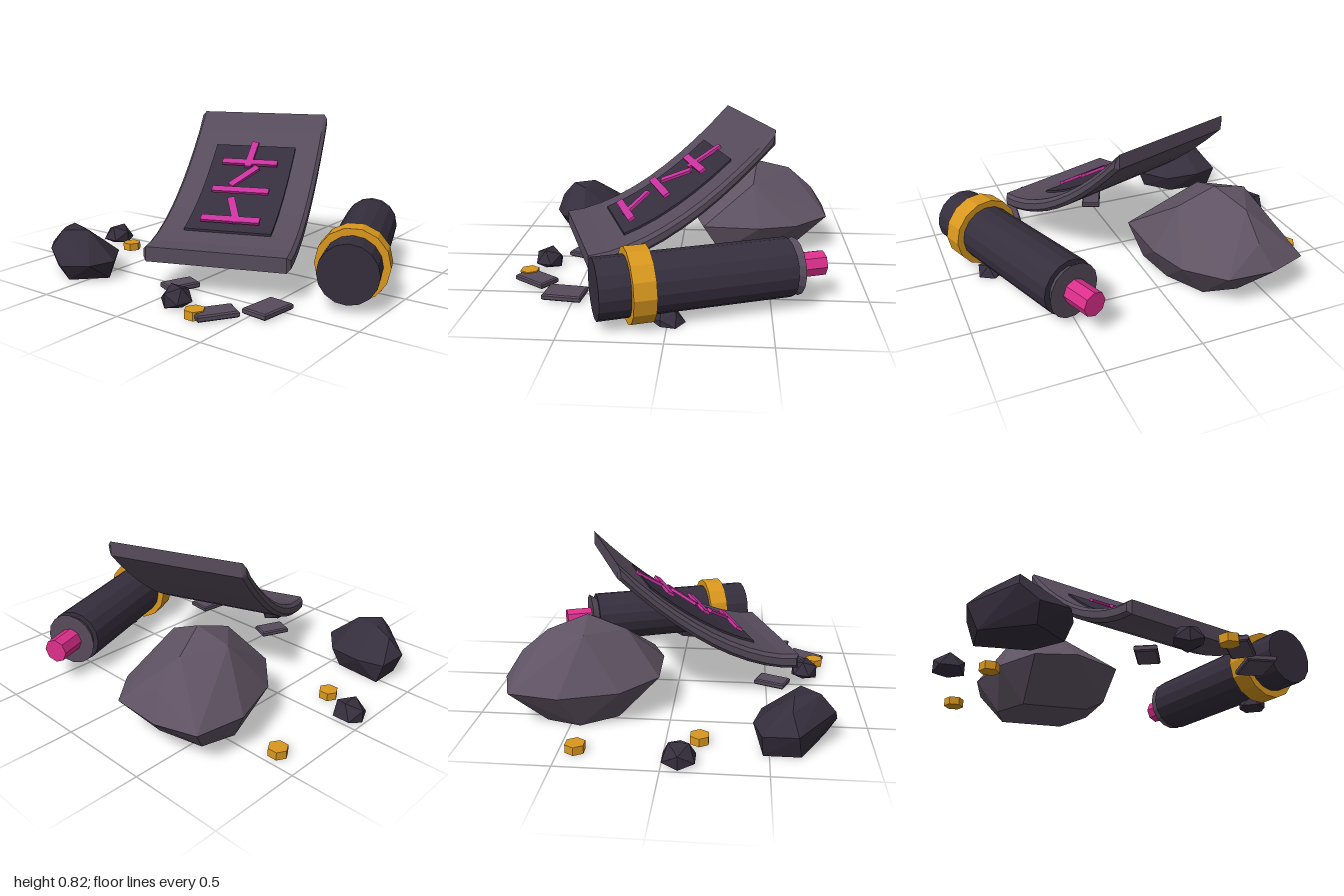
import * as THREE from 'three';
import { ConvexGeometry } from 'three/addons/geometries/ConvexGeometry.js';

const TURN = THREE.MathUtils.degToRad(20);

function mat(name, color) {
  const m = new THREE.MeshStandardMaterial({ color, flatShading: true });
  m.name = name;
  return m;
}

export function createModel() {
  const root = new THREE.Group();
  root.name = 'ruinDebris';
  const slate = mat('slate', 0x564b5b);
  const stone = mat('stone', 0x5f5363);
  const dark = mat('dark stone', 0x352e3d);
  const gold = mat('gold', 0xd9981e);
  const rune = mat('rune pink', 0xc8329e);
  const glow = mat('core pink', 0xdc2f8c);

  const add = (parent, name, geo, material, pos = [0, 0, 0], ry = 0) => {
    const m = new THREE.Mesh(geo, material);
    m.name = name;
    m.position.set(...pos);
    m.rotation.y = ry;
    parent.add(m);
    return m;
  };

  // Curved slab: a strip that rises along its length, swept across its width
  const U0 = -0.497, LEN = 0.99, RISE = 0.583;
  const strip = (u0, u1, low, high, steps) => {
    const top = [], bottom = [];
    for (let i = 0; i <= steps; i++) {
      const u = u0 + (u1 - u0) * i / steps;
      const y = 0.2 + RISE * Math.pow((u - U0) / LEN, 1.75);
      top.push(new THREE.Vector2(u, y + high));
      bottom.push(new THREE.Vector2(u, y + low));
    }
    return new THREE.Shape([...bottom, ...top.reverse()]);
  };
  const sweep = (shape, width, bevel) => {
    const geo = new THREE.ExtrudeGeometry(shape, {
      depth: width - 2 * bevel, bevelEnabled: bevel > 0, bevelSize: bevel,
      bevelThickness: bevel, bevelOffset: -bevel, bevelSegments: 1,
    });
    return geo.translate(0, 0, -width / 2 + bevel);
  };
  const tablet = new THREE.Group();
  tablet.name = 'tablet';
  tablet.position.set(-0.075, 0, 0.05);
  tablet.rotation.y = TURN;
  root.add(tablet);
  add(tablet, 'curvedSlab', sweep(strip(U0, U0 + LEN, -0.04, 0.0375, 10), 0.767, 0.018), slate);
  add(tablet, 'inscribedPanel', sweep(strip(-0.285, 0.3, 0.03, 0.05, 8), 0.47, 0), dark);

  // Raised strokes on one sloping plane: [u, w] to [u, w]
  const tilt = Math.atan(0.6), stretch = 1 / Math.cos(tilt);
  const strokes = new THREE.Group();
  strokes.name = 'strokes';
  strokes.position.set(0.008, 0.477, 0);
  strokes.rotation.z = tilt;
  tablet.add(strokes);
  [
    [-0.234, -0.16, -0.234, 0.16], [-0.25, 0.04, -0.095, -0.036],
    [-0.04, -0.16, -0.04, 0.16], [-0.01, -0.065, 0.127, 0.055],
    [0.16, -0.16, 0.16, 0.16], [0.127, -0.005, 0.311, -0.005],
  ].forEach(([a, b, c, d]) => {
    const du = (c - a) * stretch, dw = d - b;
    add(strokes, 'stroke', new THREE.BoxGeometry(Math.hypot(du, dw), 0.016, 0.04), rune,
      [(a + c) / 2 * stretch, 0, (b + d) / 2], Math.atan2(-dw, du));
  });

  // Lying column with a band, flared end and glowing core
  const column = new THREE.Group();
  column.name = 'column';
  column.position.set(-0.34, 0.19, 0.852);
  column.rotation.y = TURN;
  root.add(column);
  const tube = (name, r0, r1, from, to, sides, material) =>
    add(column, name, new THREE.CylinderGeometry(r1, r0, to - from, sides)
      .rotateZ(-Math.PI / 2), material, [(from + to) / 2, 0, 0]);
  tube('barrel', 0.151, 0.151, 0, 0.975, 16, dark);
  tube('band', 0.188, 0.188, 0.152, 0.262, 14, gold);
  tube('flaredEnd', 0.115, 0.147, 0.965, 1.015, 16, slate);
  tube('core', 0.066, 0.066, 1, 1.168, 8, glow);

  // Boulders as hulls around a few corner points
  const hull = (name, pts, material) =>
    add(root, name, new ConvexGeometry(pts.map(p => new THREE.Vector3(...p))), material);
  hull('largeBoulder', [
    [0.86, 0.2, -0.47], [0.855, 0.21, -0.21], [0.667, 0.2, -0.05], [0.455, 0.2, 0.01],
    [0.14, 0.21, 0.02], [0.06, 0.24, -0.22], [0.06, 0.22, -0.46], [0.24, 0.2, -0.63],
    [0.53, 0.2, -0.725], [0.79, 0.2, -0.68],
    [0.446, 0.513, -0.34], [0.64, 0.45, -0.42], [0.43, 0.465, -0.53], [0.24, 0.44, -0.35],
    [0.42, 0.42, -0.14], [0.78, 0.33, -0.42],
    [0.63, 0, -0.2], [0.42, 0, -0.09], [0.27, 0, -0.12], [0.24, 0.04, -0.03],
    [0.27, 0, -0.48], [0.45, 0, -0.6], [0.63, 0, -0.55], [0.72, 0.04, -0.35],
  ], stone);
  hull('darkBoulder', [
    [-0.63, 0.13, -0.875], [-0.46, 0.12, -0.86], [-0.42, 0.12, -0.72], [-0.465, 0.1, -0.52],
    [-0.63, 0.1, -0.39], [-0.77, 0.1, -0.43], [-0.835, 0.09, -0.58], [-0.815, 0.17, -0.67],
    [-0.74, 0.255, -0.66], [-0.61, 0.26, -0.71], [-0.65, 0.25, -0.56], [-0.52, 0.2, -0.7],
    [-0.6, 0.22, -0.8], [-0.78, 0, -0.58], [-0.63, 0, -0.43], [-0.49, 0, -0.56],
    [-0.47, 0, -0.82], [-0.65, 0, -0.82],
  ], dark);

  // Small rocks, flat underneath: x, z, radius, height
  [[-0.08, -0.91, 0.092, 0.1], [-0.725, 0.13, 0.084, 0.1], [0.005, 0.78, 0.082, 0.06]]
    .forEach(([x, z, r, h], i) => {
      const geo = new THREE.IcosahedronGeometry(r);
      const p = geo.attributes.position;
      for (let k = 0; k < p.count; k++) p.setY(k, Math.max(0, p.getY(k) + h - r * 0.85));
      add(root, 'smallRock', geo, dark, [x, 0, z], i * 1.3);
    });

  // Thin chamfered chips: x, z, length, width, turn
  [[-0.738, 0.375, 0.205, 0.118, -0.6], [-0.548, 0.545, 0.206, 0.142, -0.12],
    [-0.535, -0.01, 0.175, 0.11, -0.4]].forEach(([x, z, l, w, turn]) => {
    const edge = new THREE.Shape([[-1, -1], [1, -1], [1, 1], [-1, 1]]
      .map(([a, b]) => new THREE.Vector2(a * l / 2, b * w / 2)));
    const geo = new THREE.ExtrudeGeometry(edge, {
      depth: 0.018, bevelSize: 0.007, bevelThickness: 0.007, bevelOffset: -0.007, bevelSegments: 1,
    }).rotateX(-Math.PI / 2).translate(0, 0.012, 0);
    add(root, 'stoneChip', geo, slate, [x, 0, z], turn);
  });

  // Gold hexagonal studs
  [[-0.165, -0.715], [0.42, -0.85], [-0.795, 0.3]].forEach(([x, z]) =>
    add(root, 'goldStud', new THREE.CylinderGeometry(0.052, 0.052, 0.043, 6), gold, [x, 0.0215, z]));

  return root;
}
